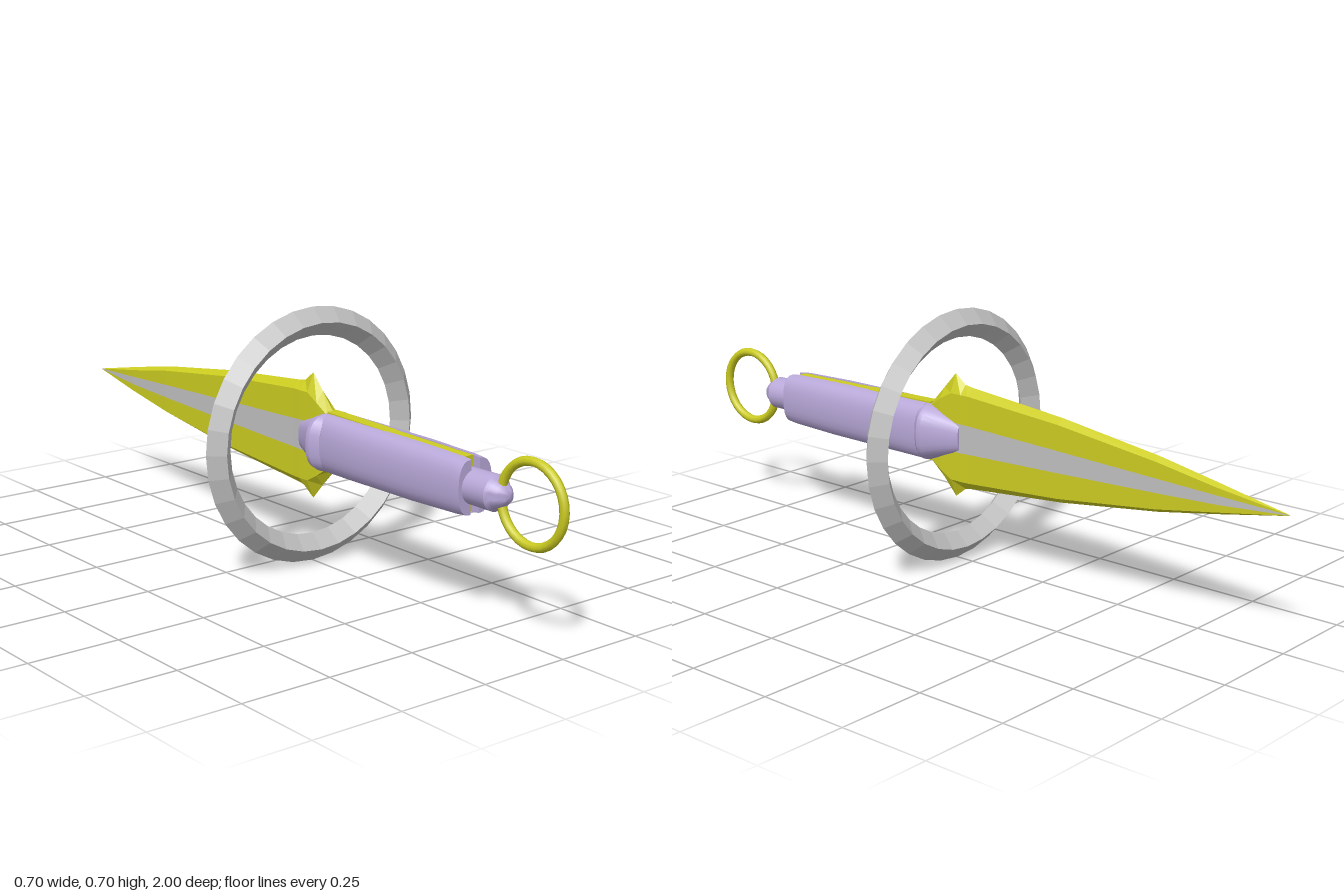
import * as THREE from 'three';
import { toCreasedNormals } from 'three/addons/utils/BufferGeometryUtils.js';

const AXIS_Y = 0.353;

// Loft through sections [z, [[x, y], ...]] ordered by rising z, points anticlockwise seen from +z.
// materialOf(j) picks a material index for each strip along the length.
function loft(sections, materialOf = () => 0) {
  const pos = [], geo = new THREE.BufferGeometry();
  const n = sections[0][1].length;
  const put = (i, j) => {
    const [z, pts] = sections[i], p = pts[j % n];
    pos.push(p[0], p[1], z);
  };
  const tri = (...corners) => corners.forEach(([i, j]) => put(i, j));
  for (let j = 0; j < n; j++) {
    const start = pos.length / 3;
    for (let i = 0; i < sections.length - 1; i++) {
      tri([i, j], [i, j + 1], [i + 1, j + 1]);
      tri([i, j], [i + 1, j + 1], [i + 1, j]);
    }
    geo.addGroup(start, pos.length / 3 - start, materialOf(j));
  }
  const start = pos.length / 3, last = sections.length - 1;
  for (let j = 1; j < n - 1; j++) {
    tri([last, 0], [last, j], [last, j + 1]);
    tri([0, 0], [0, j + 1], [0, j]);
  }
  geo.addGroup(start, pos.length / 3 - start, 0);
  geo.setAttribute('position', new THREE.Float32BufferAttribute(pos, 3));
  geo.computeVertexNormals();
  return geo;
}

// Rounded-box section
function roundSection(w, h, count = 24, power = 0.75) {
  return Array.from({ length: count }, (_, k) => {
    const a = (k / count) * Math.PI * 2, c = Math.cos(a), s = Math.sin(a);
    return [w * Math.sign(c) * Math.abs(c) ** power, h * Math.sign(s) * Math.abs(s) ** power];
  });
}

// D-shaped section for one side of the grip; side is +1 or -1
function halfSection(side, inner, w, h, count = 12) {
  const pts = Array.from({ length: count + 1 }, (_, k) => {
    const a = (k / count - 0.5) * Math.PI, c = Math.max(0, Math.cos(a)), s = Math.sin(a);
    return [side * (inner + (w - inner) * c ** 0.75), h * Math.sign(s) * Math.abs(s) ** 0.8];
  });
  return side > 0 ? pts : pts.reverse();
}

export function createModel() {
  const model = new THREE.Group();
  model.name = 'ringedDagger';
  const mat = (name, color) => {
    const m = new THREE.MeshStandardMaterial({ color });
    m.name = name;
    return m;
  };
  const yellow = mat('yellow', 0xcccc22);
  const grey = mat('grey', 0xc0c0c0);
  const lavender = mat('lavender', 0xb8a8d8);
  const add = (name, geo, material, z = 0) => {
    const mesh = new THREE.Mesh(geo, material);
    mesh.name = name;
    mesh.position.set(0, AXIS_Y, z);
    model.add(mesh);
    return mesh;
  };

  // Blade and guard points: z, half thickness, edge height, flat height, grey panel height
  const bladeRows = [
    [-1.0, 0.001, 0.001, 0.0008, 0.0005],
    [-0.8, 0.015, 0.04, 0.032, 0.012],
    [-0.62, 0.018, 0.073, 0.062, 0.019],
    [-0.31, 0.02, 0.115, 0.1, 0.03],
    [0.0, 0.021, 0.143, 0.122, 0.04],
    [0.025, 0.022, 0.147, 0.122, 0.041],
    [0.06, 0.022, 0.174, 0.122, 0.042],
    [0.1, 0.022, 0.13, 0.1, 0.042],
    [0.145, 0.018, 0.08, 0.07, 0.042],
  ];
  const blade = loft(bladeRows.map(([z, t, h, f, g]) => [z, [
    [0, -h], [t, -f], [t, -g], [t, g], [t, f], [0, h], [-t, f], [-t, g], [-t, -g], [-t, -f],
  ]]), (j) => (j === 2 || j === 7 ? 1 : 0));
  add('blade', blade, [yellow, grey]);

  // Large bevelled hoop around the guard
  const hoop = new THREE.TorusGeometry(0.312, 0.039, 4, 32).toNonIndexed();
  hoop.computeVertexNormals();
  add('guardHoop', hoop, grey, 0.057);

  // Collar between blade and grip
  const collar = loft([
    [0.03, roundSection(0.028, 0.042)],
    [0.085, roundSection(0.05, 0.06)],
    [0.125, roundSection(0.079, 0.076)],
    [0.138, roundSection(0.079, 0.08)],
    [0.16, roundSection(0.06, 0.078)],
  ]);
  add('collar', toCreasedNormals(collar, 0.5), lavender);

  // Yellow core showing between the grip halves
  const core = loft([[0.14, 0.083], [0.4, 0.077], [0.665, 0.072]].map(([z, h]) =>
    [z, [[0.017, -h], [0.017, h], [-0.017, h], [-0.017, -h]]]));
  add('gripCore', core, yellow);

  // Two grip halves
  for (const side of [1, -1]) {
    const half = loft([
      [0.15, 0.058, 0.079], [0.3, 0.062, 0.078], [0.5, 0.062, 0.077],
      [0.66, 0.056, 0.073], [0.69, 0.055, 0.07],
    ].map(([z, w, h]) => [z, halfSection(side, 0.014, w, h)]));
    add(side > 0 ? 'leftGrip' : 'rightGrip', toCreasedNormals(half, 0.6), lavender);
  }

  // Neck and rounded end knob
  const knobProfile = [[0, 0.64], [0.045, 0.64], [0.046, 0.765], [0.036, 0.775], [0.03, 0.79], [0.016, 0.806], [0, 0.81]]
    .map(([r, y]) => new THREE.Vector2(r, y));
  const knob = new THREE.LatheGeometry(knobProfile, 24);
  knob.rotateX(Math.PI / 2);
  add('endKnob', toCreasedNormals(knob, 0.7), lavender);

  // Pommel ring standing in line with the blade
  const ring = new THREE.TorusGeometry(0.104, 0.012, 8, 32);
  ring.rotateY(Math.PI / 2);
  add('pommelRing', ring, yellow, 0.884);

  return model;
}
